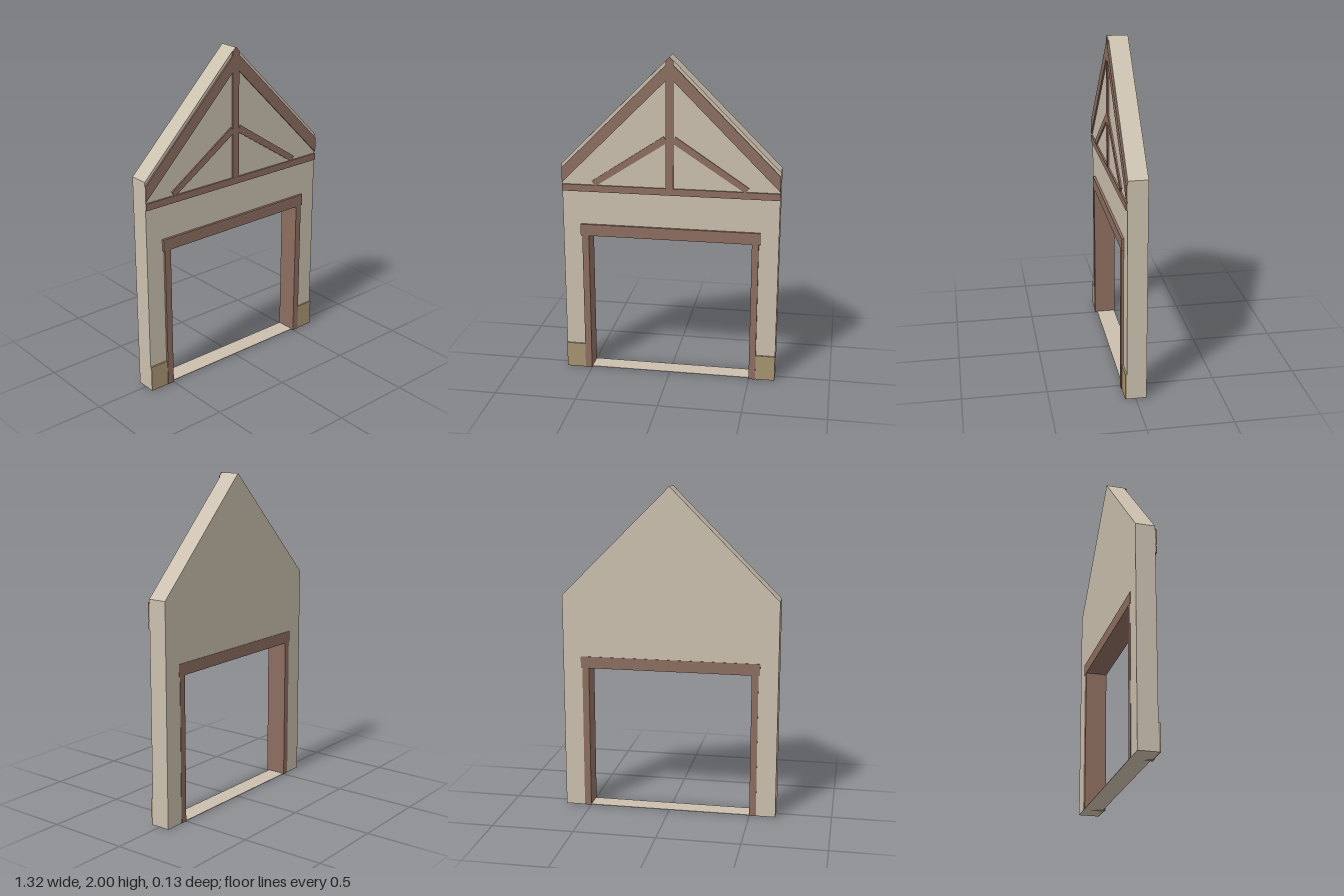
import * as THREE from 'three';

const plaster = new THREE.MeshStandardMaterial({ color: 0xcbc0ae });
plaster.name = 'plaster';
const timber = new THREE.MeshStandardMaterial({ color: 0x8d6e60 });
timber.name = 'timber';
const stone = new THREE.MeshStandardMaterial({ color: 0xa89572 });
stone.name = 'stone';

const BACK = -0.064, FACE = 0.052, TRIM = 0.061, FRAME = 0.067;

export function createModel() {
  const model = new THREE.Group();
  model.name = 'gableWall';

  // Flat outline in x/y, extruded between two depths
  const slab = (name, material, points, z0, z1, hole) => {
    const toVectors = (list) => list.map(([x, y]) => new THREE.Vector2(x, y));
    const shape = new THREE.Shape(toVectors(points));
    if (hole) shape.holes.push(new THREE.Path(toVectors(hole)));
    const geometry = new THREE.ExtrudeGeometry(shape, { depth: z1 - z0, bevelEnabled: false });
    const mesh = new THREE.Mesh(geometry.translate(0, 0, z0), material);
    mesh.name = name;
    model.add(mesh);
  };
  const rect = (x0, y0, x1, y1) => [[x0, y0], [x1, y0], [x1, y1], [x0, y1]];

  // Wall with pointed gable, doorway and thin threshold
  slab('wall', plaster,
    [[-0.66, 0], [0.66, 0], [0.66, 1.34], [0, 2], [-0.66, 1.34]],
    BACK, FACE, rect(-0.52, 0.004, 0.52, 0.925));

  // Door lining, standing slightly proud of both wall faces
  slab('doorHeader', timber, rect(-0.55, 0.89, 0.55, 0.962), -FRAME, FRAME);

  // Truss tie beam and king post
  slab('tieBeam', timber, rect(-0.66, 1.17, 0.66, 1.212), FACE, TRIM + 0.001);
  slab('kingPost', timber,
    [[-0.023, 1.212], [0.023, 1.212], [0.023, 1.977], [0, 2], [-0.023, 1.977]],
    FACE, TRIM);

  // Mirrored timbers and base stones
  for (const [side, s] of [['left', 1], ['right', -1]]) {
    const mirror = (points) => points.map(([x, y]) => [s * x, y]);
    slab(side + 'Jamb', timber, mirror(rect(0.5, 0, 0.541, 0.89)), -FRAME + 0.001, FRAME - 0.001);
    slab(side + 'Rafter', timber,
      mirror([[0.023, 1.859], [0.66, 1.222], [0.66, 1.315], [0.023, 1.952]]), FACE, TRIM);
    slab(side + 'Strut', timber,
      mirror([[0.023, 1.487], [0.445, 1.212], [0.46, 1.212], [0.476, 1.236], [0.035, 1.53], [0.023, 1.512]]),
      FACE, TRIM - 0.001);
    slab(side + 'BaseStone', stone, mirror(rect(0.541, 0, 0.66, 0.16)), FACE, TRIM + 0.001);
  }
  return model;
}
